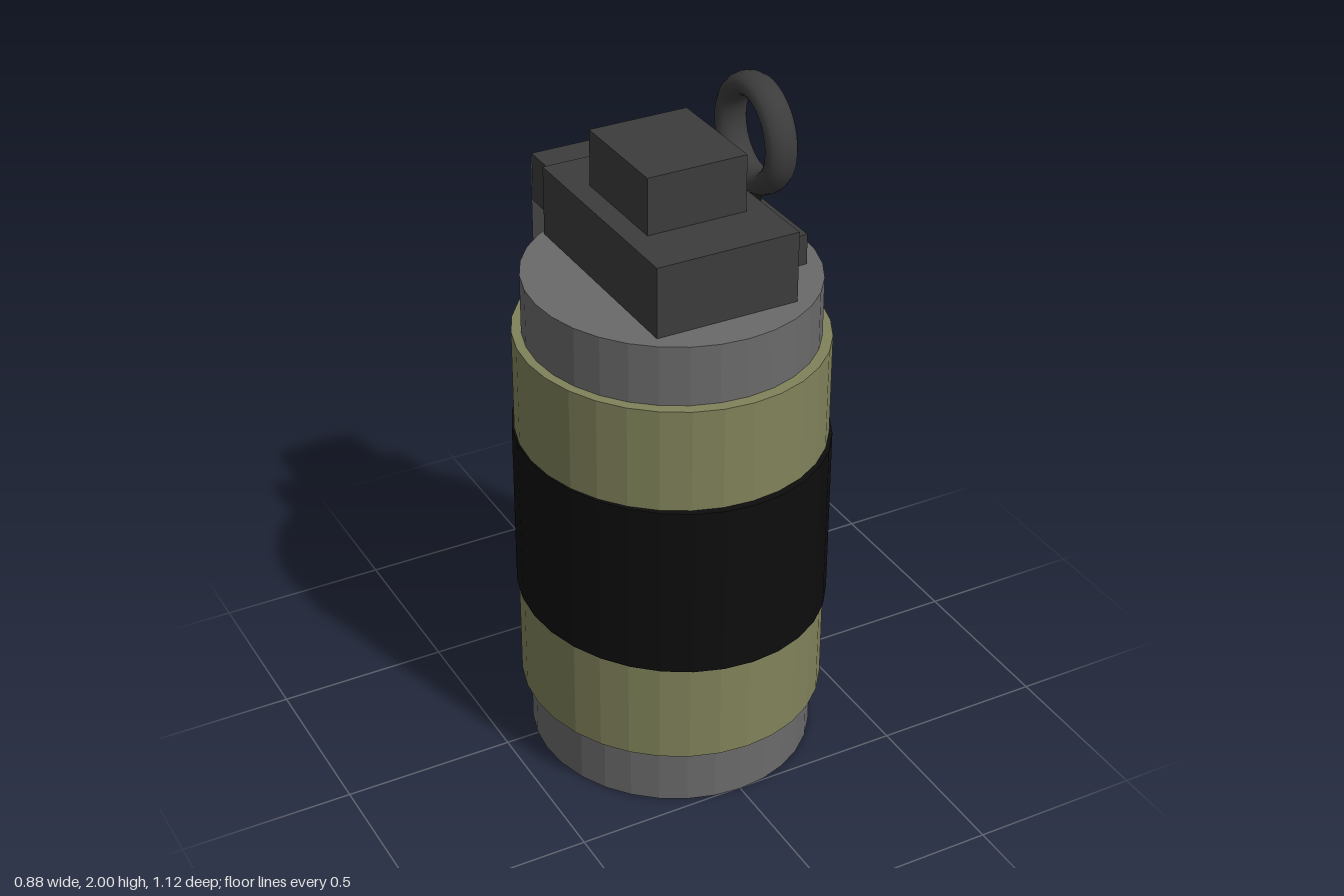
import * as THREE from 'three';

const paint = (color, flatShading = true) => new THREE.MeshStandardMaterial({ color, flatShading });

export function createModel() {
  const model = new THREE.Group();
  const steel = paint(0x6a6a6a), dark = paint(0x3c3c3c), black = paint(0x0d0d0d);
  const olive = paint(0x80825a), yellow = paint(0xc8c022);

  function add(name, geometry, material) {
    const mesh = new THREE.Mesh(geometry, material);
    mesh.name = name;
    model.add(mesh);
    return mesh;
  }

  // Slightly oval drum standing between two heights
  function drum(name, y0, y1, rx, rz, material) {
    const g = new THREE.CylinderGeometry(1, 1, y1 - y0, 32);
    g.scale(rx, 1, rz).translate(0, (y0 + y1) / 2, 0.08);
    add(name, g, material);
  }

  // Box given by its limits on each axis
  function block(name, [x0, x1], [y0, y1], [z0, z1], material) {
    const g = new THREE.BoxGeometry(x1 - x0, y1 - y0, z1 - z0);
    g.translate((x0 + x1) / 2, (y0 + y1) / 2, (z0 + z1) / 2);
    return add(name, g, material);
  }

  // Body: inner can, outer casing and the wide band
  drum('innerCan', 0, 1.49, 0.408, 0.424, steel);
  drum('casing', 0.18, 1.315, 0.434, 0.458, olive);
  drum('band', 0.49, 1.01, 0.438, 0.479, black);

  // Stepped fuse head
  block('headBase', [-0.212, 0.208], [1.48, 1.695], [-0.267, 0.393], dark);
  block('headTop', [-0.15, 0.145], [1.69, 1.86], [-0.105, 0.225], dark);
  block('sideStep', [0.2, 0.337], [1.48, 1.58], [-0.105, 0.225], dark);

  // Lever with its arm and coloured strip
  block('leverArm', [-0.14, 0.136], [1.478, 1.625], [-0.49, -0.26], dark);
  block('lever', [-0.127, 0.122], [0.095, 1.6], [-0.525, -0.413], steel);
  block('leverStrip', [-0.066, 0.06], [0.107, 1.575], [-0.557, -0.52], yellow);

  // Pin through the head and its pull ring
  const pin = new THREE.CylinderGeometry(1, 1, 0.165, 16);
  pin.rotateZ(Math.PI / 2).scale(1, 0.051, 0.036).translate(0.183, 1.665, 0.065);
  add('pin', pin, paint(0x161616));

  const ring = new THREE.TorusGeometry(0.136, 0.034, 14, 40);
  ring.rotateY(Math.PI / 2).scale(1.38, 1, 1).translate(0.262, 1.83, 0.065);
  add('pullRing', ring, paint(0x3c3c3c, false));

  return model;
}
